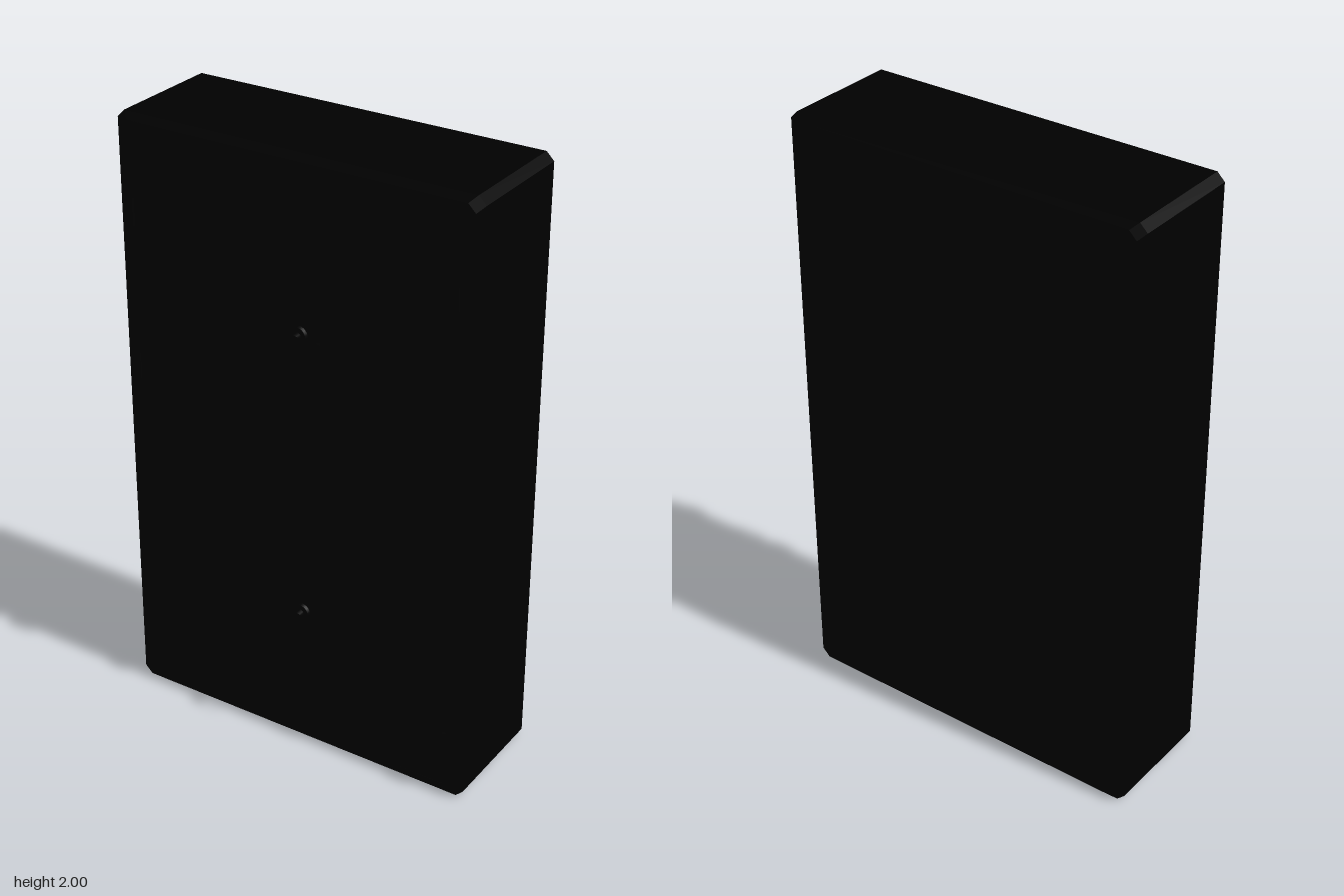
import * as THREE from 'three';

const black = new THREE.MeshStandardMaterial({ color: 0x000000 });
black.name = 'black lacquer';

const W = 0.615, FRONT = 0.19, BACK = -0.23, BEVEL = 0.02, CORNER = 0.025;
const FLOOR = FRONT - BEVEL; // plane behind the doors

// Cabinet outline with cut corners, shrunk by an inset
function outline(inset) {
  const w = W - inset, lo = inset, hi = 2 - inset, c = CORNER;
  return [[-w + c, lo], [w - c, lo], [w, lo + c], [w, hi - c],
    [w - c, hi], [-w + c, hi], [-w, hi - c], [-w, lo + c]].map(([x, y]) => new THREE.Vector2(x, y));
}

function rectangle(x0, y0, x1, y1, Type = THREE.Shape) {
  return new Type([[x0, y0], [x1, y0], [x1, y1], [x0, y1]].map(([x, y]) => new THREE.Vector2(x, y)));
}

function add(parent, name, geometry, x = 0, y = 0, z = 0) {
  const mesh = new THREE.Mesh(geometry, black);
  mesh.name = name;
  mesh.position.set(x, y, z);
  parent.add(mesh);
  return mesh;
}

// Sides with bevelled front and back edges, plus the back panel
function shellGeometry() {
  const sections = [[BACK, BEVEL], [BACK + BEVEL, 0], [FLOOR, 0], [FRONT, BEVEL]];
  const rings = sections.map(([z, inset]) => outline(inset).map(p => [p.x, p.y, z]));
  const points = [];
  for (let s = 0; s < rings.length - 1; s++) {
    for (let i = 0; i < 8; i++) {
      const j = (i + 1) % 8;
      const a = rings[s][i], b = rings[s][j], c = rings[s + 1][j], d = rings[s + 1][i];
      points.push(...a, ...b, ...c, ...a, ...c, ...d);
    }
  }
  for (let i = 1; i < 7; i++) points.push(...rings[0][0], ...rings[0][i + 1], ...rings[0][i]);
  const geometry = new THREE.BufferGeometry();
  geometry.setAttribute('position', new THREE.Float32BufferAttribute(points, 3));
  geometry.computeVertexNormals();
  return geometry;
}

function addDoor(parent, name, x0, y0, x1, y1, panelled) {
  const door = new THREE.Group();
  door.name = name;
  const shape = rectangle(x0, y0, x1, y1);
  if (panelled) {
    const m = 0.052;
    shape.holes.push(rectangle(x0 + m, y0 + m, x1 - m, y1 - m, THREE.Path));
    add(door, 'doorPanel', new THREE.BoxGeometry(x1 - x0 - 2 * m, y1 - y0 - 2 * m, 0.006),
      (x0 + x1) / 2, (y0 + y1) / 2, FLOOR + 0.003);
  }
  add(door, 'doorLeaf', new THREE.ExtrudeGeometry(shape, { depth: BEVEL, bevelEnabled: false }), 0, 0, FLOOR);
  parent.add(door);
}

// Round plate, neck and bowed lever
function addHandle(parent, x, y) {
  const handle = new THREE.Group();
  handle.name = 'handle';
  handle.position.set(x, y, FRONT);
  add(handle, 'handlePlate', new THREE.CylinderGeometry(0.028, 0.03, 0.01, 24).rotateX(Math.PI / 2), 0, 0, 0.005);
  add(handle, 'handleNeck', new THREE.CylinderGeometry(0.013, 0.013, 0.024, 16).rotateX(Math.PI / 2), 0, 0, 0.02);
  const bow = new THREE.QuadraticBezierCurve3(
    new THREE.Vector3(-0.01, 0, 0.026), new THREE.Vector3(0.04, 0, 0.048), new THREE.Vector3(0.09, 0, 0.027));
  const lever = new THREE.TubeGeometry(bow, 16, 0.003, 8).scale(1, 4, 1);
  add(handle, 'handleLever', lever);
  parent.add(handle);
}

export function createModel() {
  const cabinet = new THREE.Group();
  cabinet.name = 'cabinet';

  // Carcass and front frame with two door openings
  add(cabinet, 'shell', shellGeometry());
  const frame = new THREE.Shape(outline(BEVEL));
  const openings = [[0.04, 0.905], [0.96, 1.93]];
  for (const [y0, y1] of openings) frame.holes.push(rectangle(-0.553, y0, 0.553, y1, THREE.Path));
  add(cabinet, 'frontFrame', new THREE.ExtrudeGeometry(frame, { depth: BEVEL, bevelEnabled: false }), 0, 0, FLOOR);
  add(cabinet, 'innerWall', new THREE.PlaneGeometry(2 * W - 0.05, 1.95), 0, 1, FLOOR);

  // Door pairs
  const gap = 0.005, split = -0.008;
  openings.forEach(([y0, y1], i) => {
    const level = i ? 'upper' : 'lower';
    addDoor(cabinet, level + 'RightDoor', -0.553 + gap, y0 + gap, split - gap / 2, y1 - gap, i === 1);
    addDoor(cabinet, level + 'LeftDoor', split + gap / 2, y0 + gap, 0.553 - gap, y1 - gap, i === 1);
  });

  // Hinges on both sides
  for (const side of [-1, 1]) {
    for (const y of [0.197, 0.705, 1.19, 1.698]) {
      add(cabinet, 'hinge', new THREE.CylinderGeometry(0.007, 0.007, 0.088, 16), side * 0.555, y, 0.197);
    }
  }

  addHandle(cabinet, 0.03, 1.447);
  addHandle(cabinet, 0.034, 0.491);
  return cabinet;
}
